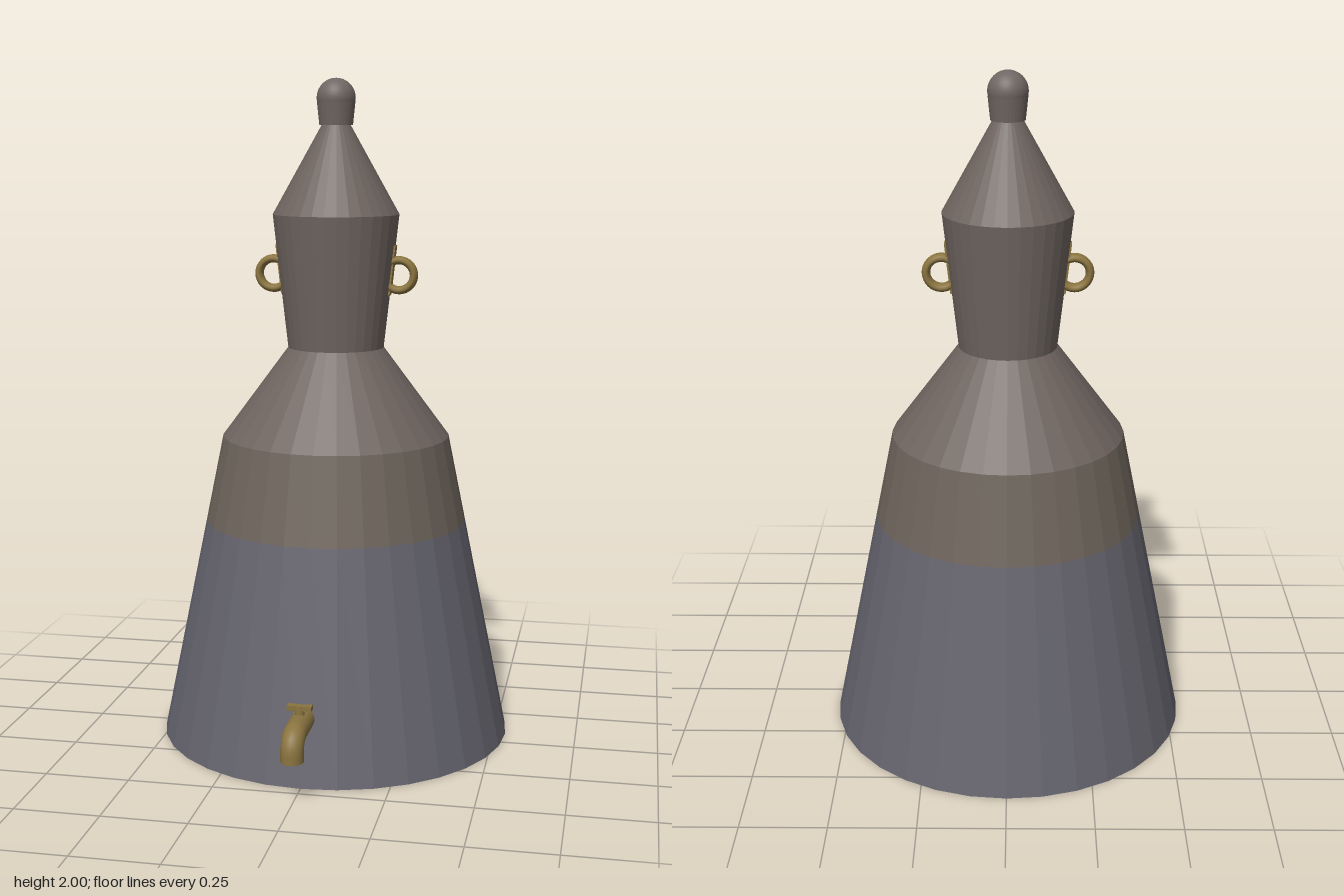
import * as THREE from 'three';

export function createModel() {
  const root = new THREE.Group();
  const mat = (color, flatShading = true, side = THREE.FrontSide) => {
    const m = new THREE.MeshStandardMaterial({ flatShading, side });
    m.color.set(color);
    return m;
  };
  const steel = mat(0x66656f);
  const clay = mat(0x6f6560);
  const band = mat(0x6e655c);
  const knobMat = mat(0x6f6763, false);
  const brass = mat(0x8a7440, false, THREE.DoubleSide);

  const add = (parent, name, geo, material, x = 0, y = 0, z = 0) => {
    const mesh = new THREE.Mesh(geo, material);
    mesh.name = name;
    mesh.position.set(x, y, z);
    parent.add(mesh);
    return mesh;
  };

  // Round vessel, its axis set back to make room for the tap
  const vessel = new THREE.Group();
  vessel.name = 'vessel';
  vessel.position.z = -0.07;
  root.add(vessel);
  const turned = (name, pts, material) => add(vessel, name,
    new THREE.LatheGeometry(pts.map(([r, y]) => new THREE.Vector2(r, y)), 32), material);

  turned('lowerBody', [[0, 0], [0.535, 0], [0.398, 0.67]], steel);
  turned('bodyBand', [[0.398, 0.67], [0.345, 0.93]], band);
  turned('shoulder', [[0.345, 0.93], [0.145, 1.2]], clay);
  turned('neck', [[0.145, 1.2], [0.19, 1.6]], clay);
  turned('lid', [[0.19, 1.6], [0.043, 1.863], [0, 1.88]], clay);
  turned('knobStem', [[0, 1.862], [0.05, 1.862], [0.057, 1.93]], clay);
  add(vessel, 'knob', new THREE.SphereGeometry(0.058, 32, 16), knobMat, 0, 1.942, 0);

  // Ring handles with mounting plates on both sides of the neck
  for (const s of [1, -1]) {
    const handle = new THREE.Group();
    handle.name = s > 0 ? 'leftHandle' : 'rightHandle';
    vessel.add(handle);
    const ring = add(handle, 'handleRing', new THREE.TorusGeometry(0.045, 0.0125, 12, 32), brass, s * 0.192, 1.42, 0);
    ring.scale.z = 1.85;
    const plate = add(handle, 'handlePlate', new THREE.BoxGeometry(0.012, 0.15, 0.036), brass, s * 0.169, 1.435, 0);
    plate.rotation.z = -s * 0.112;
  }

  // Tap: bent pipe, stem and bow-tie lever
  const tap = new THREE.Group();
  tap.name = 'tap';
  root.add(tap);
  const path = new THREE.CurvePath();
  const v = (y, z) => new THREE.Vector3(0, y, z);
  path.add(new THREE.LineCurve3(v(0.193, 0.38), v(0.193, 0.52)));
  path.add(new THREE.QuadraticBezierCurve3(v(0.193, 0.52), v(0.193, 0.572), v(0.145, 0.572)));
  path.add(new THREE.LineCurve3(v(0.145, 0.572), v(0.125, 0.572)));
  add(tap, 'spout', new THREE.TubeGeometry(path, 32, 0.033, 20), brass);
  add(tap, 'valveStem', new THREE.CylinderGeometry(0.012, 0.014, 0.04, 12), brass, 0, 0.23, 0.468);

  const bow = new THREE.Shape();
  [[-0.035, -0.014], [0, -0.008], [0.035, -0.014], [0.035, 0.014], [0, 0.008], [-0.035, 0.014]]
    .forEach(([x, y], i) => (i ? bow.lineTo(x, y) : bow.moveTo(x, y)));
  bow.closePath();
  const lever = add(tap, 'lever', new THREE.ExtrudeGeometry(bow, { depth: 0.014, bevelEnabled: false }), brass, 0, 0.237, 0.468);
  lever.rotation.x = -Math.PI / 2;

  return root;
}
